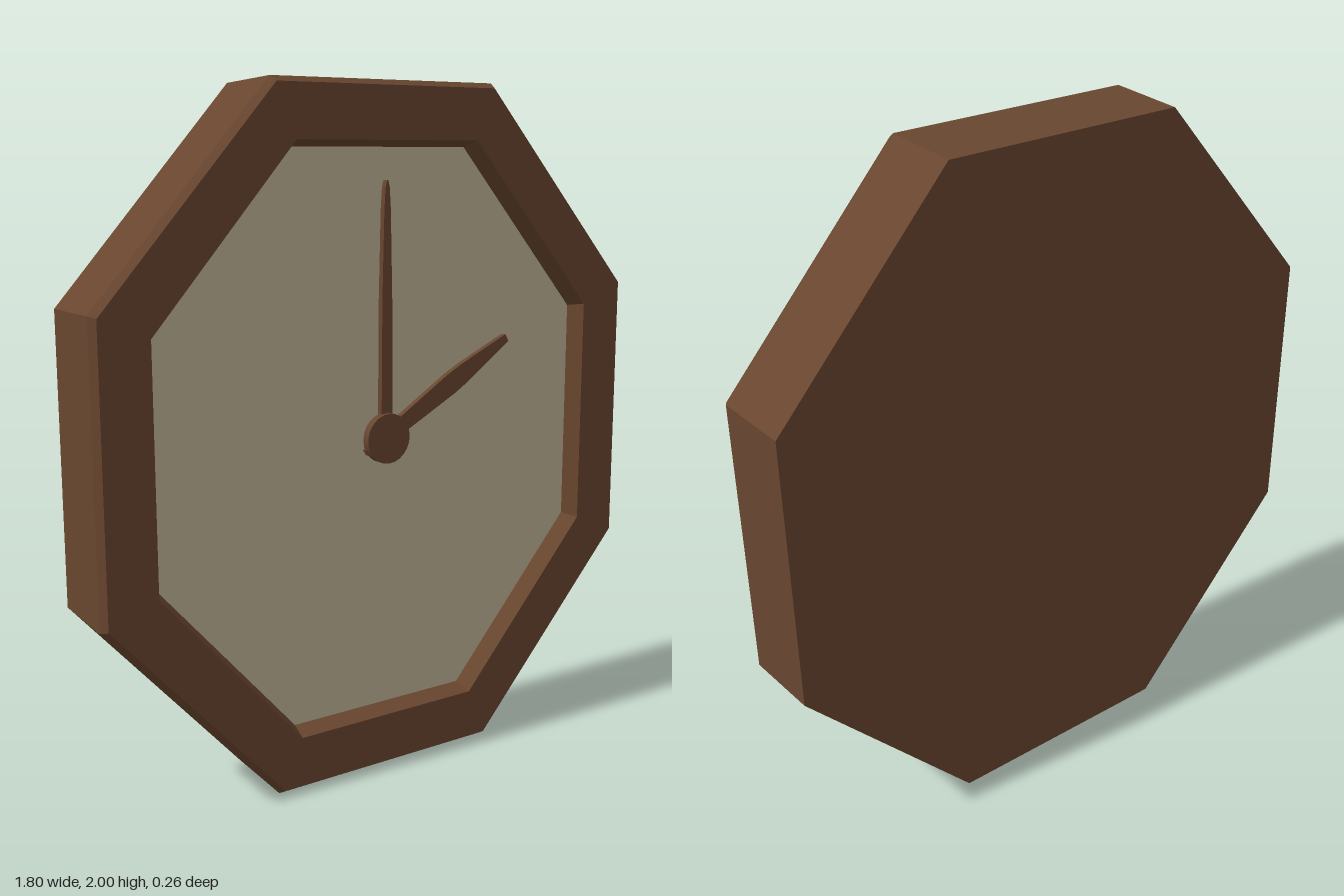
import * as THREE from 'three';

const wood = new THREE.MeshStandardMaterial({ color: 0x68462f });
wood.name = 'brown wood';
const cream = new THREE.MeshStandardMaterial({ color: 0xc3b697 });
cream.name = 'cream dial';

// Octagon corners, counter-clockwise seen from the front
const OCTAGON = [[0.9, -0.41], [0.9, 0.41], [0.37, 1], [-0.37, 1], [-0.9, 0.41], [-0.9, -0.41], [-0.37, -1], [0.37, -1]];

// Joins octagonal rings [scaleX, scaleY, z] into a flat-sided surface
function loft(rings) {
  const pos = [];
  const at = ([sx, sy, z], i) => {
    const [x, y] = OCTAGON[i % 8];
    return [x * sx, y * sy, z];
  };
  for (let r = 0; r + 1 < rings.length; r++) {
    const a = rings[r], b = rings[r + 1];
    for (let i = 0; i < 8; i++) {
      if (a[0] > 0) pos.push(...at(a, i), ...at(a, i + 1), ...at(b, i + 1));
      else pos.push(...at(a, i), ...at(b, i + 1), ...at(b, i));
      if (a[0] > 0 && b[0] > 0) pos.push(...at(a, i), ...at(b, i + 1), ...at(b, i));
    }
  }
  const geo = new THREE.BufferGeometry();
  geo.setAttribute('position', new THREE.Float32BufferAttribute(pos, 3));
  geo.computeVertexNormals();
  return geo;
}

// Flat hand from a profile of [distance along, half width]
function handGeometry(profile, depth) {
  const right = profile.map(([d, w]) => new THREE.Vector2(w, d));
  const left = profile.map(([d, w]) => new THREE.Vector2(-w, d)).reverse();
  return new THREE.ExtrudeGeometry(new THREE.Shape([...right, ...left]), { depth, bevelEnabled: false });
}

export function createModel() {
  const group = new THREE.Group();
  const add = (name, geo, mat, z = 0, turn = 0) => {
    const mesh = new THREE.Mesh(geo, mat);
    mesh.name = name;
    mesh.position.set(0, 1, z);
    mesh.rotation.z = turn;
    group.add(mesh);
  };

  // Case: closed back, slightly flared sides, bevelled rim, sloping inner lip
  add('case', loft([
    [0, 0, -0.13], [0.988, 0.99, -0.13], [1, 1, 0.105], [0.984, 0.985, 0.13],
    [0.823, 0.838, 0.13], [0.802, 0.82, 0.075],
  ]), wood);
  add('dial', loft([[0.802, 0.82, 0.075], [0, 0, 0.075]]), cream);

  // Hands set to two o'clock
  add('minuteHand', handGeometry([[0, 0.019], [0.4, 0.017], [0.65, 0.011], [0.71, 0.007], [0.73, 0.002]], 0.018), wood, 0.095);
  add('hourHand', handGeometry([[-0.075, 0.01], [0.06, 0.024], [0.27, 0.032], [0.33, 0.03], [0.48, 0.016], [0.515, 0.012]], 0.018),
    wood, 0.093, -Math.PI / 3);

  // Hub and the spindle behind it
  add('hub', new THREE.CylinderGeometry(0.073, 0.073, 0.025, 24).rotateX(Math.PI / 2), wood, 0.112);
  add('spindle', new THREE.CylinderGeometry(0.02, 0.02, 0.03, 12).rotateX(Math.PI / 2), wood, 0.088);
  return group;
}
